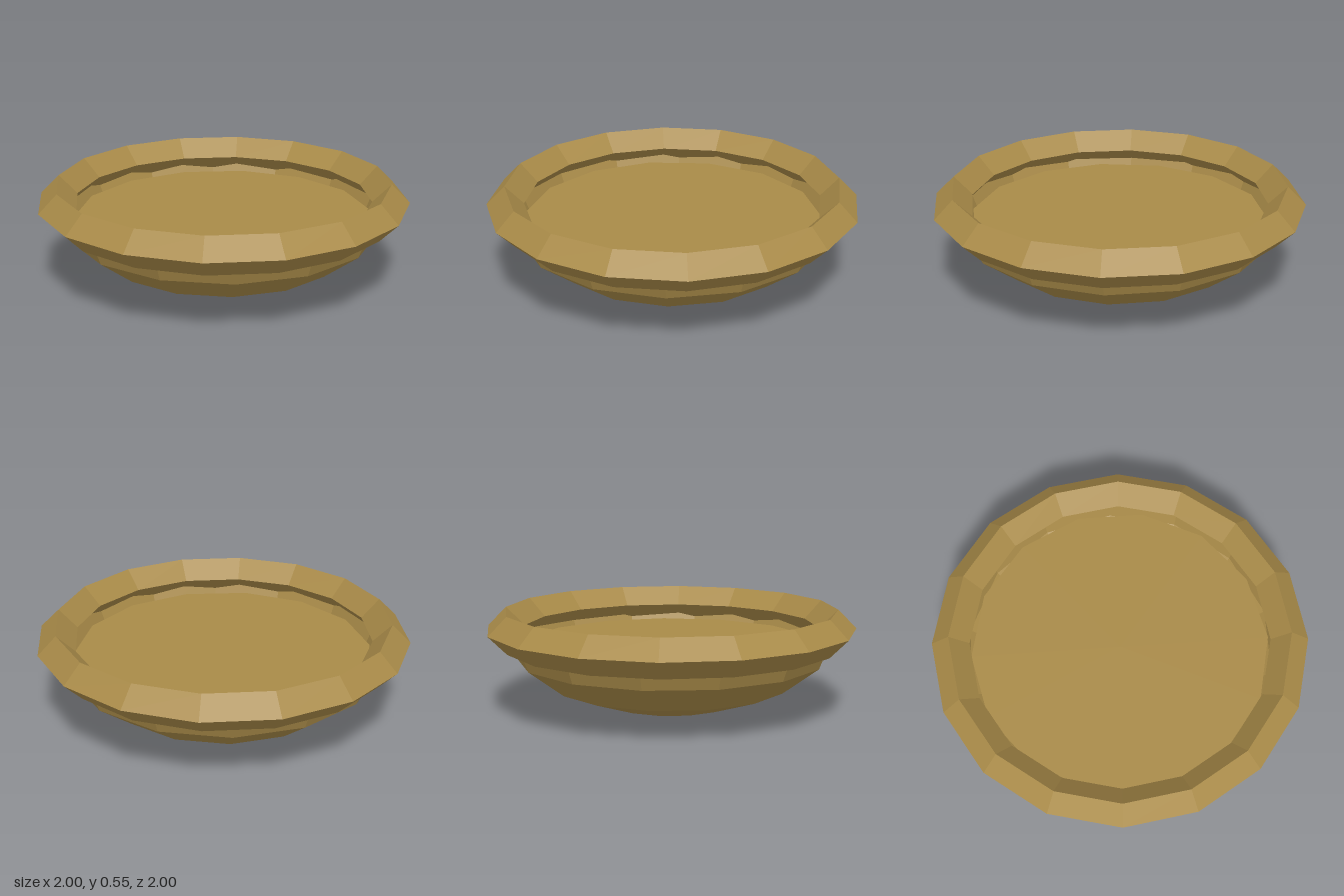
import * as THREE from 'three';

export function createModel() {
  const model = new THREE.Group();
  model.name = 'shallowBowl';
  const bronze = new THREE.MeshStandardMaterial({ color: 0xa88a48, flatShading: true, side: THREE.DoubleSide });
  bronze.name = 'bronze';
  const midY = 0.45;

  function add(name, geometry, y) {
    const mesh = new THREE.Mesh(geometry, bronze);
    mesh.name = name;
    mesh.position.y = y;
    model.add(mesh);
    return mesh;
  }

  // Open basin: lower half of a flattened sphere
  const basin = new THREE.SphereGeometry(0.9, 14, 4, 0, Math.PI * 2, Math.PI / 2, Math.PI / 2);
  basin.scale(1, midY / 0.9, 1);
  add('basin', basin, midY);

  // Diamond-section rim
  const rim = new THREE.TorusGeometry(0.9, 0.1, 4, 16);
  rim.rotateX(-Math.PI / 2);
  add('rim', rim, midY);

  // Flat filling surface, set just below the rim
  const surface = new THREE.CircleGeometry(0.8, 14, Math.PI / 2);
  surface.rotateX(-Math.PI / 2);
  add('surface', surface, 0.365);

  return model;
}
